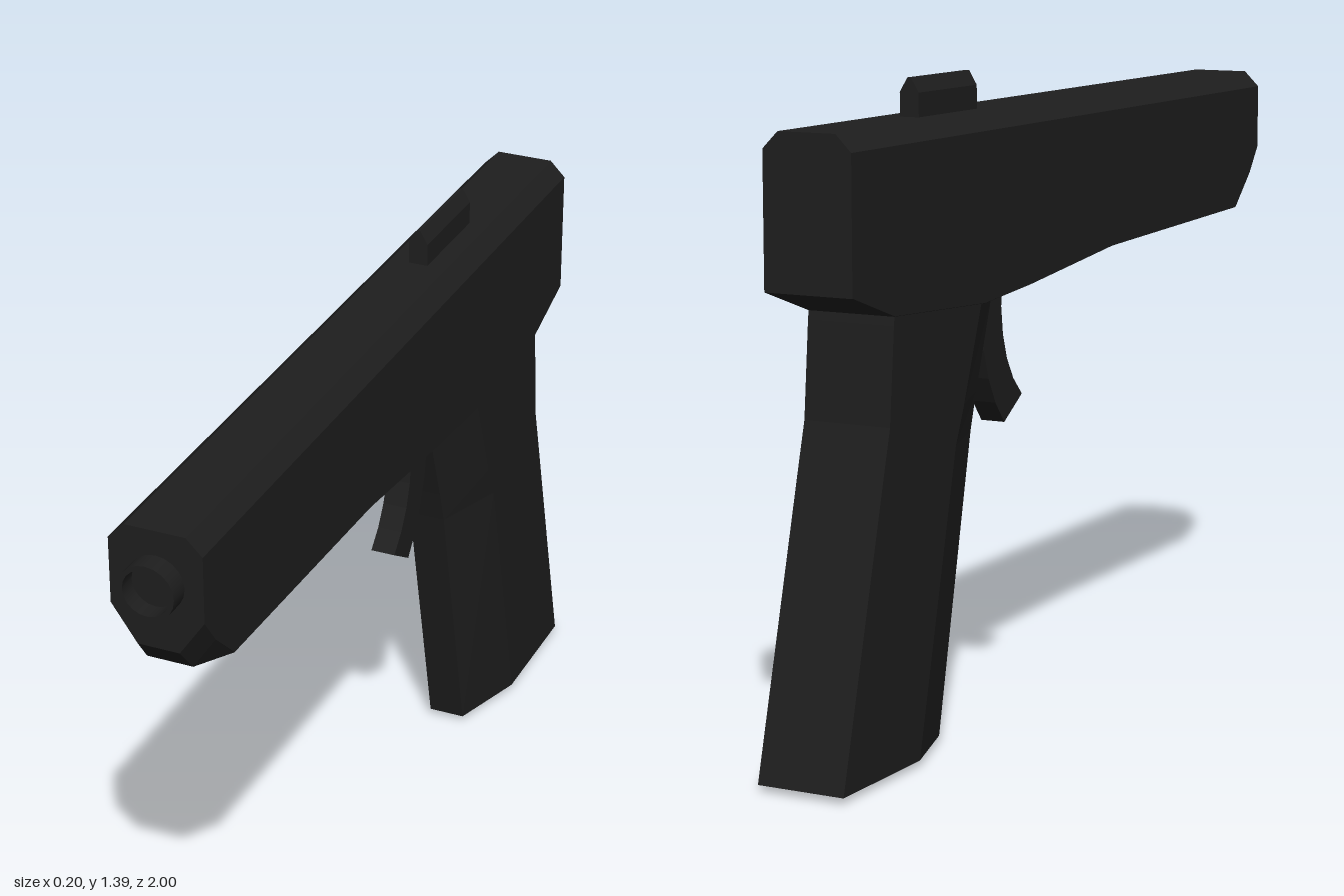
import * as THREE from 'three';

const dark = new THREE.MeshStandardMaterial({ color: 0x1e1e1e, flatShading: true, roughness: 0.8 });
const barrelMat = new THREE.MeshStandardMaterial({ color: 0x1e1e1e, side: THREE.DoubleSide, roughness: 0.8 });

// Skin a list of equal-length rings; each ring runs counter-clockwise seen from the first one's side
function loft(rings) {
  const pos = [];
  const tri = (a, b, c) => pos.push(...a, ...b, ...c);
  const n = rings[0].length;
  for (let i = 0; i < rings.length - 1; i++) {
    const r = rings[i], s = rings[i + 1];
    for (let j = 0; j < n; j++) {
      const k = (j + 1) % n;
      tri(r[j], s[j], r[k]);
      tri(r[k], s[j], s[k]);
    }
  }
  const last = rings[rings.length - 1];
  for (let j = 1; j < n - 1; j++) {
    tri(rings[0][0], rings[0][j], rings[0][j + 1]);
    tri(last[0], last[j + 1], last[j]);
  }
  const g = new THREE.BufferGeometry();
  g.setAttribute('position', new THREE.Float32BufferAttribute(pos, 3));
  g.computeVertexNormals();
  return g;
}

// Mirror the +x half of a ring to close it
const mirrored = half => [...half, ...half.slice().reverse().map(([x, y, z]) => [-x, y, z])];

// Extrude a (z, y) profile across x, centred
function sideExtrude(shape, width) {
  const g = new THREE.ExtrudeGeometry(shape, { depth: width, bevelEnabled: false, curveSegments: 5 });
  g.translate(0, 0, -width / 2);
  g.rotateY(-Math.PI / 2);
  return g;
}

export function createModel() {
  const model = new THREE.Group();
  const add = (name, geometry, material = dark) => {
    const m = new THREE.Mesh(geometry, material);
    m.name = name;
    model.add(m);
    return m;
  };

  // Body: bevelled top edges, chamfered nose, underside dropping toward the grip
  const bodyRing = (z, bottomHalf, bottomY, sideY) => mirrored([
    [bottomHalf, bottomY, z], [0.1, sideY, z], [0.1, 1.275, z], [0.065, 1.31, z],
  ]);
  add('body', loft([
    bodyRing(0.955, 0.045, 1.05, 1.13),
    bodyRing(0.91, 0.05, 0.995, 1.07),
    bodyRing(0.83, 0.099, 0.994, 0.995),
    bodyRing(0.17, 0.099, 0.974, 0.975),
    bodyRing(-0.22, 0.099, 0.934, 0.935),
    bodyRing(-0.42, 0.099, 0.919, 0.92),
    bodyRing(-0.79, 0.099, 0.939, 0.94),
    bodyRing(-0.95, 0.099, 0.994, 0.995),
  ]));

  // Grip: narrow front, bevelled to full-width sides, with a shallow recess in the base
  const gripRing = (y, front, side, rear, f = 0.042, w = 0.099) => mirrored([
    [f, y, front], [w, y, side], [w, y, rear],
  ]);
  add('grip', loft([
    gripRing(0.97, -0.27, -0.42, -0.785),
    gripRing(0.92, -0.285, -0.435, -0.792),
    gripRing(0.72, -0.355, -0.51, -0.81),
    gripRing(0.64, -0.38, -0.545, -0.832),
    gripRing(0.015, -0.52, -0.7, -1),
    gripRing(0.015, -0.55, -0.7, -0.97, 0.035, 0.078),
    gripRing(0.06, -0.54, -0.69, -0.958, 0.035, 0.078),
  ]));

  // Base plate sitting in the recess, slightly tilted
  const plate = add('basePlate', new THREE.BoxGeometry(0.12, 0.05, 0.28));
  plate.position.set(0, 0.03, -0.785);
  plate.rotation.x = -0.03;

  // Curved trigger
  const trigger = new THREE.Shape();
  trigger.moveTo(-0.215, 0.95);
  trigger.quadraticCurveTo(-0.235, 0.77, -0.125, 0.68);
  trigger.lineTo(-0.205, 0.63);
  trigger.quadraticCurveTo(-0.315, 0.74, -0.31, 0.95);
  add('trigger', sideExtrude(trigger, 0.056));

  // Peaked sight rib on top
  const rib = z => mirrored([[0.022, 1.3, z], [0.022, 1.36, z], [0.004, 1.39, z]]);
  add('sight', loft([rib(-0.312), rib(-0.555)]));

  // Hollow barrel tip, closed by a disc inside
  const barrel = new THREE.LatheGeometry([
    [0.06, 0.94], [0.06, 1], [0.06, 1], [0.05, 1], [0.05, 1], [0.05, 0.96], [0.05, 0.96], [0, 0.96],
  ].map(([r, z]) => new THREE.Vector2(r, z)), 20);
  barrel.rotateX(Math.PI / 2);
  add('barrel', barrel, barrelMat).position.y = 1.197;

  return model;
}
